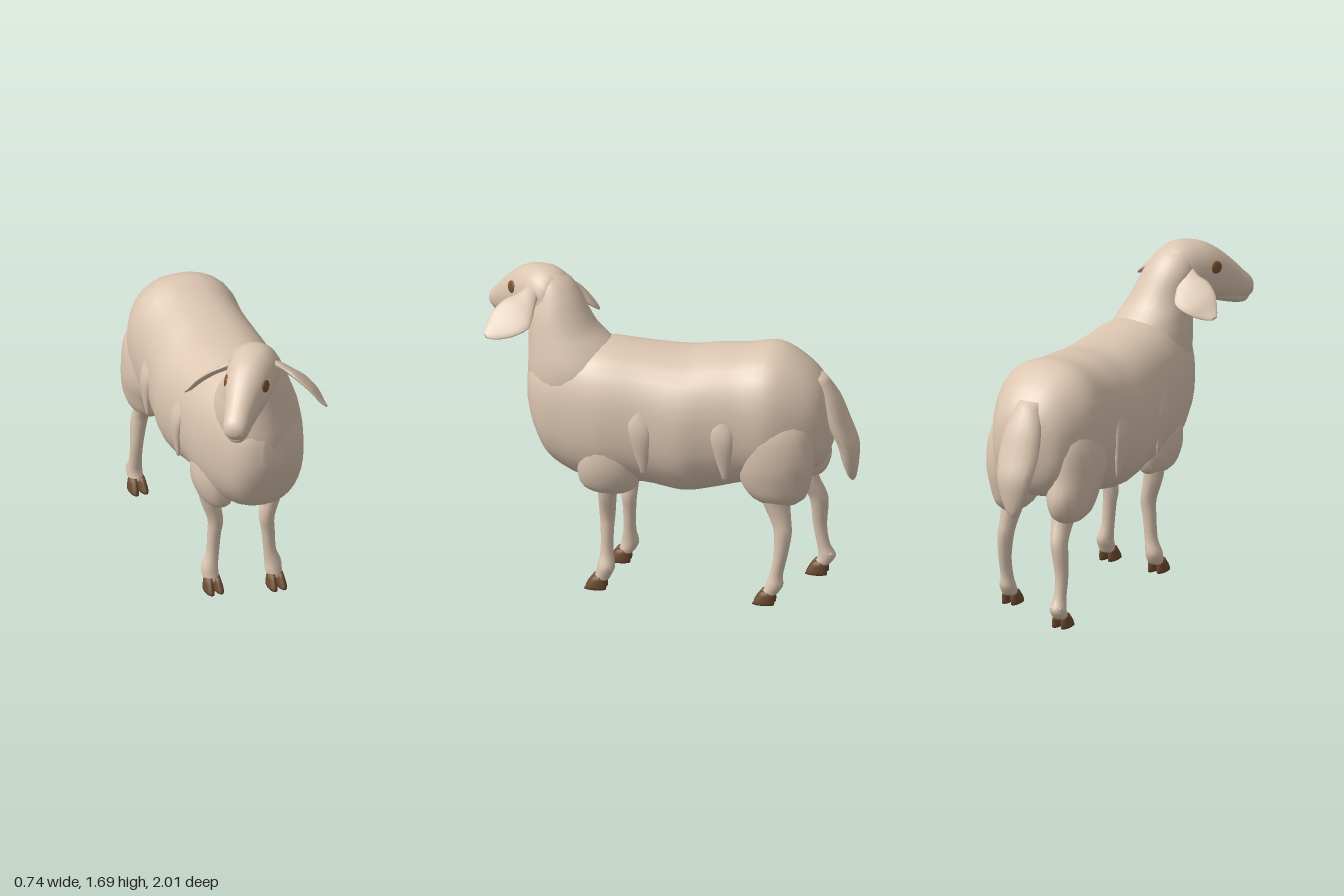
import * as THREE from 'three';

const wool = new THREE.MeshStandardMaterial({ color: 0xdcc6b1 });
wool.name = 'wool';
const horn = new THREE.MeshStandardMaterial({ color: 0x6e4c30 });
horn.name = 'hoof brown';
const iris = new THREE.MeshStandardMaterial({ color: 0x7a4f2b });
iris.name = 'eye brown';

// Section planes for lofts along each axis: u x v = axis
const planes = {
  x: { k: 0, u: [0, 1, 0], v: [0, 0, 1] },
  y: { k: 1, u: [1, 0, 0], v: [0, 0, -1] },
  z: { k: 2, u: [1, 0, 0], v: [0, 1, 0] },
};

// Smooth in-between rows (Catmull-Rom on every number)
function smooth(rows, steps) {
  const out = [];
  const n = rows.length;
  for (let i = 0; i < n - 1; i++) {
    const [a, b, c, d] = [-1, 0, 1, 2].map((o) => rows[Math.min(n - 1, Math.max(0, i + o))]);
    for (let s = 0; s < steps; s++) {
      const t = s / steps;
      out.push(b.map((p1, k) => 0.5 * (2 * p1 + (c[k] - a[k]) * t
        + (2 * a[k] - 5 * p1 + 4 * c[k] - d[k]) * t * t
        + (3 * p1 - a[k] - 3 * c[k] + d[k]) * t * t * t)));
    }
  }
  out.push(rows[n - 1]);
  return out;
}

// Closed loft through rows of [x, y, z, radiusU, radiusV]
function loft(name, axis, rows, { segs = 16, steps = 3, power = 2, material = wool } = {}) {
  const { k, u, v } = planes[axis];
  const rings = smooth(rows, steps);
  const pos = [];
  const index = [];
  const forward = rings[rings.length - 1][k] > rings[0][k];
  const tri = (a, b, c) => (forward ? index.push(a, b, c) : index.push(a, c, b));
  const round = (c) => Math.sign(c) * Math.abs(c) ** (2 / power);
  for (const r of rings) {
    for (let j = 0; j < segs; j++) {
      const t = (j / segs) * Math.PI * 2;
      const a = round(Math.cos(t)) * r[3];
      const b = round(Math.sin(t)) * r[4];
      for (let c = 0; c < 3; c++) pos.push(r[c] + u[c] * a + v[c] * b);
    }
  }
  const last = (rings.length - 1) * segs;
  const c0 = pos.length / 3;
  pos.push(...rings[0].slice(0, 3), ...rings[rings.length - 1].slice(0, 3));
  for (let j = 0; j < segs; j++) {
    const m = (j + 1) % segs;
    for (let i = 0; i < last; i += segs) {
      tri(i + j, i + m, i + segs + m);
      tri(i + j, i + segs + m, i + segs + j);
    }
    tri(m, j, c0);
    tri(last + j, last + m, c0 + 1);
  }
  const g = new THREE.BufferGeometry();
  g.setAttribute('position', new THREE.Float32BufferAttribute(pos, 3));
  g.setIndex(index);
  g.computeVertexNormals();
  const mesh = new THREE.Mesh(g, material);
  mesh.name = name;
  return mesh;
}

// Woolly trunk from rump to chest: z, top, bottom, half width
function makeBody() {
  const profile = [
    [-0.865, 1.1, 0.86, 0.07], [-0.82, 1.21, 0.76, 0.18], [-0.72, 1.315, 0.7, 0.25],
    [-0.57, 1.388, 0.66, 0.305], [-0.4, 1.365, 0.63, 0.3], [-0.25, 1.35, 0.59, 0.312],
    [-0.1, 1.325, 0.565, 0.33], [0.1, 1.33, 0.59, 0.305], [0.3, 1.345, 0.58, 0.295],
    [0.42, 1.34, 0.59, 0.27], [0.53, 1.32, 0.63, 0.235], [0.63, 1.28, 0.705, 0.195],
    [0.7, 1.24, 0.85, 0.135], [0.735, 1.17, 0.97, 0.06],
  ];
  const rows = profile.map(([z, top, low, w]) => [0.018, (top + low) / 2, z, w, (top - low) / 2]);
  return loft('body', 'z', rows, { segs: 32, steps: 4, power: 2.3 });
}

function makeNeck() {
  return loft('neck', 'y', [
    [0.015, 0.75, 0.4, 0.1, 0.15], [0.015, 0.95, 0.45, 0.18, 0.25], [0.015, 1.1, 0.465, 0.215, 0.272],
    [0.01, 1.22, 0.475, 0.215, 0.265], [0.0, 1.32, 0.515, 0.19, 0.225], [-0.015, 1.4, 0.56, 0.17, 0.182],
    [-0.03, 1.48, 0.585, 0.152, 0.155], [-0.05, 1.56, 0.6, 0.135, 0.125],
    [-0.06, 1.63, 0.625, 0.1, 0.095], [-0.06, 1.67, 0.645, 0.05, 0.05],
  ], { segs: 28 });
}

// Head turned toward the model's right
function makeHead() {
  const head = new THREE.Group();
  head.name = 'head';
  head.add(loft('skull', 'z', [
    [0, 1.5, -0.13, 0.06, 0.07], [0, 1.53, -0.08, 0.115, 0.13], [0, 1.54, 0, 0.132, 0.15],
    [0, 1.53, 0.08, 0.127, 0.153], [0, 1.508, 0.16, 0.115, 0.148], [0, 1.472, 0.24, 0.094, 0.128],
    [0, 1.425, 0.32, 0.074, 0.1], [0, 1.405, 0.365, 0.066, 0.072],
    [0, 1.4, 0.395, 0.052, 0.048], [0, 1.4, 0.41, 0.02, 0.018],
  ], { segs: 24, power: 2.15 }));
  // Lower jaw below the mouth crease
  head.add(loft('jaw', 'z', [
    [0, 1.42, 0.12, 0.07, 0.05], [0, 1.385, 0.22, 0.066, 0.05], [0, 1.355, 0.31, 0.057, 0.042],
    [0, 1.345, 0.36, 0.046, 0.032], [0, 1.348, 0.385, 0.022, 0.015],
  ], { segs: 14 }));
  for (const s of [1, -1]) {
    // Drooping leaf-shaped ear, front edge raised; the right one hangs lower and closer
    const reach = s > 0 ? 1 : -0.9;
    const drop = s > 0 ? 0 : 0.035;
    const ear = loft(s > 0 ? 'leftEar' : 'rightEar', 'x', [
      [0.06, 1.605, -0.01, 0.025, 0.03], [0.13, 1.59, -0.015, 0.024, 0.042],
      [0.19, 1.56, -0.03, 0.022, 0.068], [0.25, 1.525, -0.03, 0.02, 0.096],
      [0.32, 1.47, -0.005, 0.018, 0.082], [0.37, 1.415, 0.022, 0.014, 0.045],
      [0.4, 1.39, 0.038, 0.006, 0.015],
    ].map(([x, y, z, a, b]) => [x * reach, y - drop, z, a, b]), { segs: 14 });
    ear.geometry.applyMatrix4(new THREE.Matrix4().makeShear(0, 0, 0, 0, 0, 0.5));
    ear.geometry.computeVertexNormals();
    head.add(ear);
    const eye = new THREE.Mesh(new THREE.SphereGeometry(1, 14, 10), iris);
    eye.name = s > 0 ? 'leftEye' : 'rightEye';
    eye.scale.set(0.01, 0.033, 0.035);
    eye.position.set(0.106 * s, 1.555, 0.162);
    eye.rotation.set(0, -0.25 * s, 0.15 * s);
    head.add(eye);
  }
  head.position.set(-0.07, 0, 0.655);
  head.rotation.y = -Math.atan2(0.6, 0.8);
  return head;
}

// Cloven hoof: two wedge toes and two small dewclaws
function makeHoof(x, y, z) {
  const hoof = new THREE.Group();
  hoof.name = 'hoof';
  for (const s of [1, -1]) {
    hoof.add(loft('toe', 'y', [
      [x + s * 0.026, y, z + 0.025, 0.024, 0.06], [x + s * 0.026, y + 0.025, z + 0.018, 0.024, 0.054],
      [x + s * 0.022, y + 0.07, z + 0.005, 0.02, 0.034],
    ], { segs: 10, steps: 2, material: horn }));
    const claw = new THREE.Mesh(new THREE.SphereGeometry(0.014, 8, 6), wool);
    claw.name = 'dewclaw';
    claw.position.set(x + s * 0.022, y + 0.115, z - 0.05);
    hoof.add(claw);
  }
  return hoof;
}

// Leg rows: x, y, z, half width, half depth
function makeLeg(name, rows, hoof) {
  const leg = new THREE.Group();
  leg.name = name;
  leg.add(loft('shank', 'y', rows, { segs: 12 }), makeHoof(...hoof));
  return leg;
}

function makeFrontLeg(s, z, y) {
  const x = s > 0 ? 0.172 : -0.153;
  const m = s * 0.032;
  return makeLeg(s > 0 ? 'leftFrontLeg' : 'rightFrontLeg', [
    [x + m / 4, 0.68, z - 0.005, 0.06, 0.06], [x, 0.54, z - 0.005, 0.052, 0.05],
    [x - m, 0.41, z, 0.042, 0.042], [x - m * 0.8, 0.32, z, 0.036, 0.035],
    [x - m / 2, 0.2, z, 0.034, 0.034], [x, 0.13, z, 0.044, 0.046],
    [x, 0.09, z + 0.01, 0.045, 0.044], [x, y + 0.05, z + 0.025, 0.04, 0.038],
  ], [x, y, z + 0.03]);
}

// Hind leg; sweep shifts the foot backward from the hip
function makeHindLeg(s, x, sweep) {
  const row = (dx, y, z, w, d, k) => [x + dx * s, y, z - sweep * k, w, d];
  return makeLeg(s > 0 ? 'leftHindLeg' : 'rightHindLeg', [
    row(-0.03, 0.7, -0.58, 0.07, 0.09, 0.3), row(-0.03, 0.58, -0.605, 0.055, 0.072, 0.45),
    row(-0.02, 0.49, -0.63, 0.044, 0.055, 0.6), row(-0.01, 0.42, -0.642, 0.042, 0.047, 0.6),
    row(0, 0.3, -0.632, 0.034, 0.037, 0.65), row(0, 0.19, -0.61, 0.033, 0.035, 0.85),
    row(0, 0.13, -0.6, 0.043, 0.046, 1), row(0, 0.08, -0.575, 0.04, 0.04, 1),
  ], [x, 0.025, -0.57 - sweep]);
}

function makeTail() {
  return loft('tail', 'y', [
    [0.012, 1.24, -0.77, 0.06, 0.06], [0.012, 1.12, -0.845, 0.1, 0.06], [0.012, 0.98, -0.9, 0.112, 0.06],
    [0.012, 0.87, -0.945, 0.1, 0.056], [0.012, 0.77, -0.957, 0.075, 0.044],
    [0.012, 0.69, -0.965, 0.04, 0.025], [0.012, 0.66, -0.968, 0.012, 0.01],
  ]);
}

export function createModel() {
  const sheep = new THREE.Group();
  sheep.name = 'sheep';
  sheep.add(makeBody(), makeNeck(), makeHead(), makeTail());
  for (const s of [1, -1]) {
    const side = s > 0 ? 'left' : 'right';
    const back = s > 0 ? 0 : -0.04;
    const hang = (name, rows) => sheep.add(loft(side + name, 'y',
      rows.map(([x, y, z, a, b]) => [0.018 + s * x, y, z, a, b]), { segs: 18 }));
    // Wool hanging over the tops of the legs
    hang('HaunchWool', [
      [0.12, 1.22, -0.58, 0.06, 0.1], [0.17, 1.02, -0.59, 0.125, 0.19],
      [0.185, 0.84, -0.595, 0.13, 0.205], [0.18, 0.72, -0.595 + back, 0.118, 0.19],
      [0.175, 0.63, -0.605 + back, 0.098, 0.155], [0.175, 0.585, -0.61 + back, 0.06, 0.1],
    ]);
    hang('ShoulderWool', [
      [0.14, 1.0, 0.3, 0.06, 0.08], [0.165, 0.86, 0.29, 0.105, 0.14],
      [0.175, 0.72, 0.285, 0.108, 0.165], [0.165, 0.61, 0.285, 0.088, 0.15],
      [0.16, 0.57, 0.285, 0.06, 0.11],
    ]);
    // Loose locks on the flanks
    for (const z of [-0.33, 0.1]) {
      hang('FlankLock', [
        [0.24, 1.18, z, 0.01, 0.02], [0.292, 1.02, z, 0.022, 0.06],
        [0.298, 0.9, z - 0.01, 0.024, 0.05], [0.285, 0.74, z - 0.02, 0.008, 0.015],
      ]);
    }
  }
  sheep.add(makeFrontLeg(1, 0.3, 0), makeFrontLeg(-1, 0.235, 0.01));
  sheep.add(makeHindLeg(1, 0.245, 0), makeHindLeg(-1, -0.165, 0.2));
  return sheep;
}
